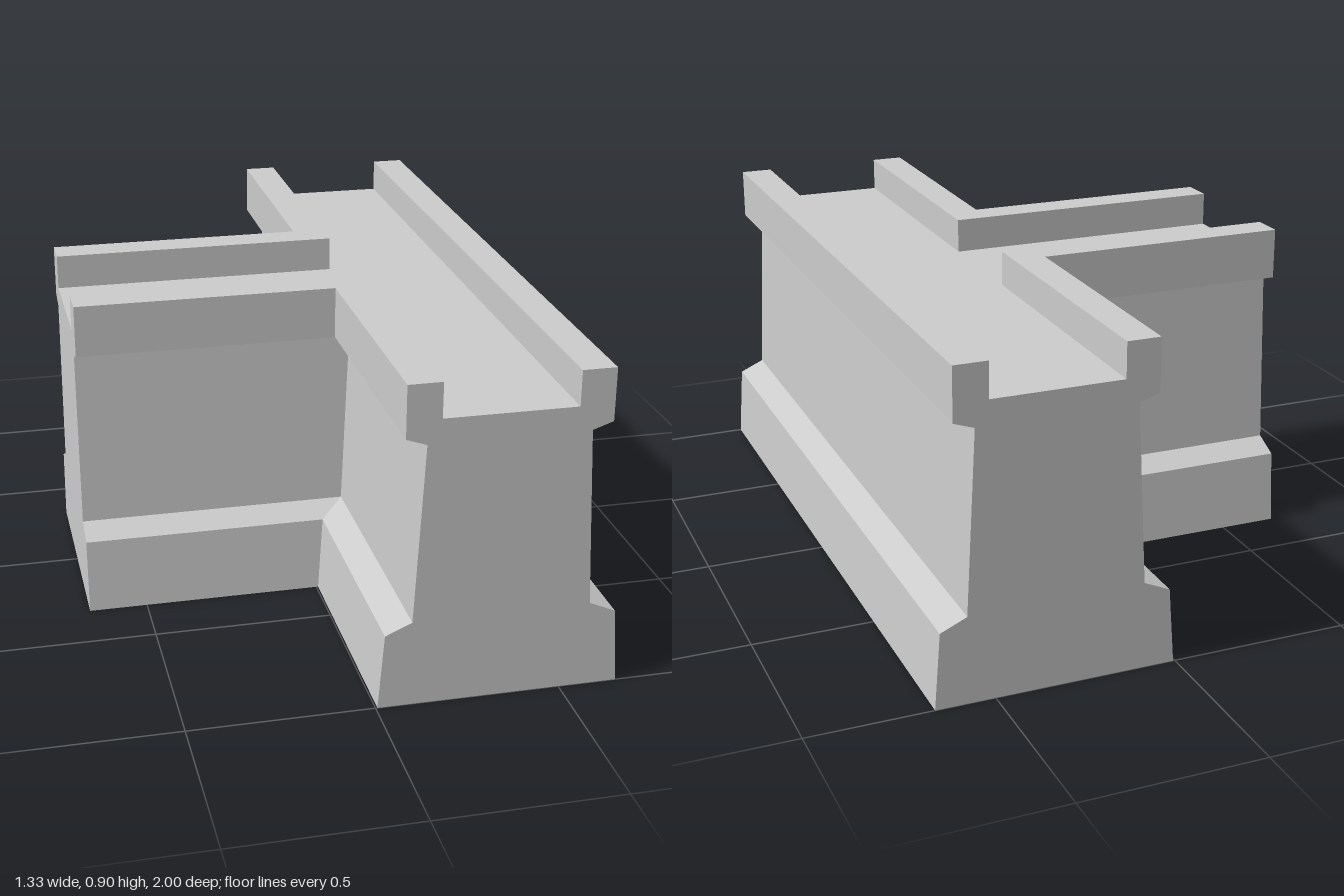
import * as THREE from 'three';

const CX = 0.333;      // centre line of the long wall
const END_X = -0.664;  // end of the branch wall
const WALK = [0.178, 0.803];

// Half cross-section as [distance from centre line, height], by part
const PARTS = {
  plinth: [[0.328, 0], [0.312, 0.21], [0.24, 0.242]],
  wallFaces: [[0.24, 0.242], [0.215, 0.736]],
  parapets: [[0.215, 0.736], [0.27, 0.755], [0.27, 0.9], [0.178, 0.9], WALK],
};

// T-shaped plan outline [x, z] at distance d from the centre lines
const tee = (d) => [
  [CX + d, 1], [CX + d, -1], [CX - d, -1], [CX - d, -d],
  [END_X, -d], [END_X, d], [CX - d, d], [CX - d, 1],
];
const SIDE_EDGES = [0, 2, 3, 5, 6]; // outline edges that are not open ends

// Surfaces joining the outlines of successive profile points, mitred at corners
function loftSides(profile) {
  const pos = [];
  for (let i = 0; i < profile.length - 1; i++) {
    const [[d0, y0], [d1, y1]] = [profile[i], profile[i + 1]];
    const lo = tee(d0), hi = tee(d1);
    for (const e of SIDE_EDGES) {
      const a = [lo[e][0], y0, lo[e][1]], b = [lo[e + 1][0], y0, lo[e + 1][1]];
      const c = [hi[e + 1][0], y1, hi[e + 1][1]], d = [hi[e][0], y1, hi[e][1]];
      pos.push(...a, ...b, ...c, ...a, ...c, ...d);
    }
  }
  const geo = new THREE.BufferGeometry();
  geo.setAttribute('position', new THREE.Float32BufferAttribute(pos, 3));
  geo.computeVertexNormals();
  return geo;
}

const flat = (pts) =>
  new THREE.ShapeGeometry(new THREE.Shape(pts.map(([x, y]) => new THREE.Vector2(x, y))));

export function createModel() {
  const group = new THREE.Group();
  const mat = new THREE.MeshStandardMaterial({ color: 0xcccccc, flatShading: true });
  const add = (name, geo) => {
    const mesh = new THREE.Mesh(geo, mat);
    mesh.name = name;
    group.add(mesh);
    return mesh;
  };

  // Long side faces
  for (const [name, profile] of Object.entries(PARTS)) add(name, loftSides(profile));

  // Walkway floor and underside
  const floor = flat(tee(WALK[0]).map(([x, z]) => [x, -z])).rotateX(-Math.PI / 2);
  add('walkway', floor.translate(0, WALK[1], 0));
  add('underside', flat(tee(PARTS.plinth[0][0])).rotateX(Math.PI / 2));

  // Three end faces with the full mirrored cross-section
  const half = [...PARTS.plinth, ...PARTS.parapets];
  const section = [...half, ...half.map(([d, y]) => [-d, y]).reverse()];
  const ends = [
    ['frontEnd', 0, CX, 1],
    ['backEnd', Math.PI, CX, -1],
    ['branchEnd', -Math.PI / 2, END_X, 0],
  ];
  for (const [name, turn, x, z] of ends) {
    const end = add(name, flat(section));
    end.rotation.y = turn;
    end.position.set(x, 0, z);
  }
  return group;
}
